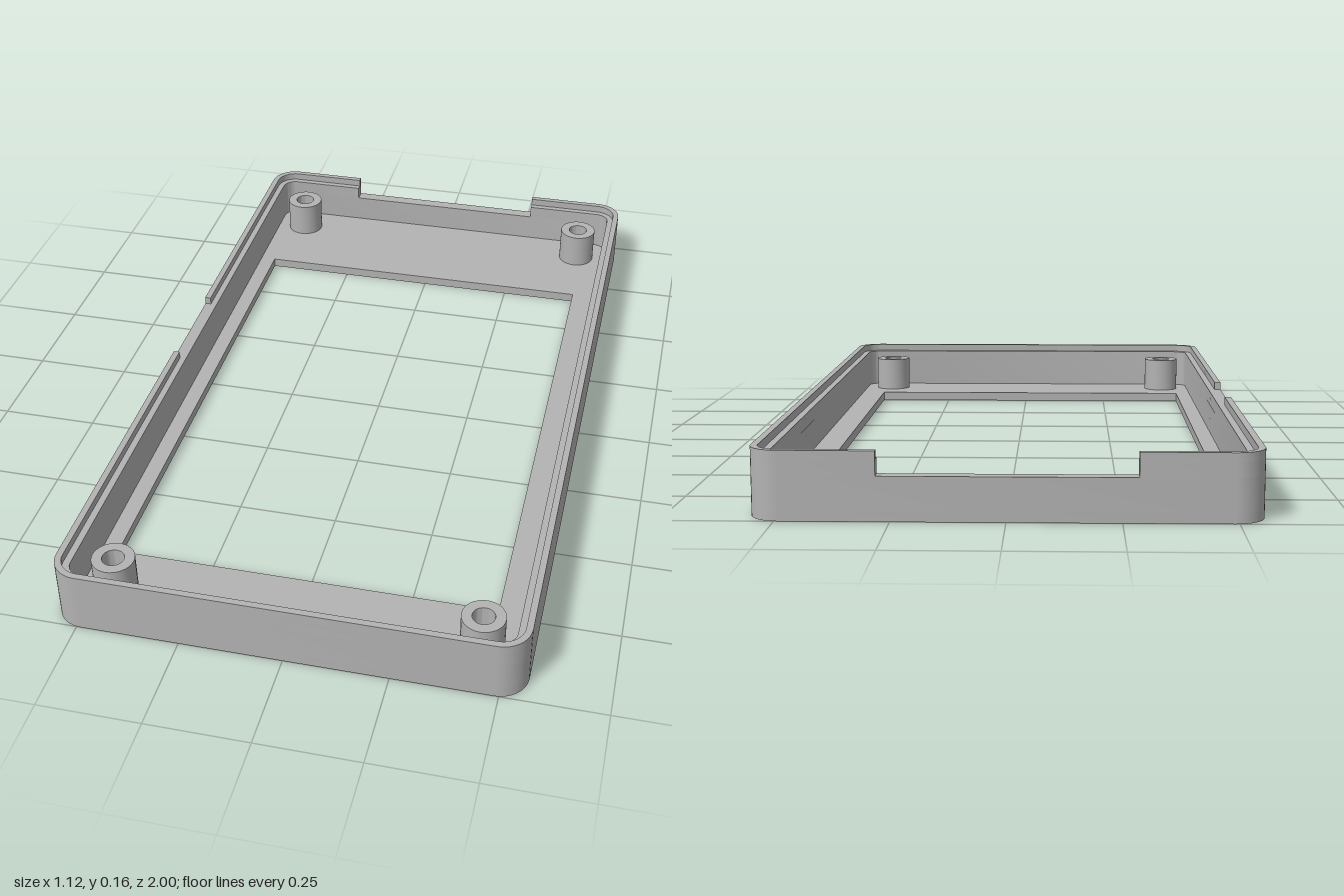
import * as THREE from 'three';
import { toCreasedNormals } from 'three/addons/utils/BufferGeometryUtils.js';

const HALF_W = 0.56, HALF_L = 1, RADIUS = 0.07;
const WALL = 0.033, LIP = 0.016;                              // wall and lip thickness
const FLOOR = 0.025, NOTCH = 0.1, LEDGE = 0.135, TOP = 0.155; // heights

// Points of one rounded corner, inset by t; corners count anticlockwise from back left
function corner(i, t) {
  const sx = i === 0 || i === 3 ? 1 : -1, sy = i < 2 ? 1 : -1;
  const points = [];
  for (let k = 0; k <= 12; k++) {
    const a = (i + k / 12) * Math.PI / 2;
    points.push(new THREE.Vector2(
      sx * (HALF_W - RADIUS) + Math.cos(a) * (RADIUS - t),
      sy * (HALF_L - RADIUS) + Math.sin(a) * (RADIUS - t)));
  }
  return points;
}

const loop = (t) => [0, 1, 2, 3].flatMap((i) => corner(i, t));

// Plan shape (y towards the back) raised between two heights
function raise(shape, y0, y1) {
  const geo = new THREE.ExtrudeGeometry(shape, { depth: y1 - y0, bevelEnabled: false });
  geo.rotateX(-Math.PI / 2).translate(0, y0, 0);
  return toCreasedNormals(geo, 0.6);
}

// Open stretch of wall from one cut end to another, passing the given corners
function strip(start, corners, end, thickness) {
  const path = (t) => [start(t), ...corners.flatMap((i) => corner(i, t)), end(t)];
  return new THREE.Shape([...path(0), ...path(thickness).reverse()]);
}

export function createModel() {
  const group = new THREE.Group();
  group.name = 'enclosureFrame';
  const grey = new THREE.MeshStandardMaterial({ color: 0xb3b3b3 });
  grey.name = 'grey plastic';
  const add = (name, geo) => {
    const mesh = new THREE.Mesh(geo, grey);
    mesh.name = name;
    group.add(mesh);
    return mesh;
  };

  // Floor with the display window
  const floor = new THREE.Shape(loop(0));
  floor.holes.push(new THREE.Path([[-0.485, -0.755], [-0.485, 0.655], [0.46, 0.655], [0.46, -0.755]]
    .map(([x, y]) => new THREE.Vector2(x, y))));
  add('floor', raise(floor, 0, FLOOR));

  // Closed lower wall
  const wall = new THREE.Shape(loop(0));
  wall.holes.push(new THREE.Path(loop(WALL)));
  add('lowerWall', raise(wall, FLOOR, NOTCH));

  // Upper wall, open at the back notch, and the thin lip, also open at the side notch
  const backRight = (t) => new THREE.Vector2(-0.285, HALF_L - t);
  const backLeft = (t) => new THREE.Vector2(0.28, HALF_L - t);
  const sideRear = (t) => new THREE.Vector2(-HALF_W + t, 0.2);
  const sideFront = (t) => new THREE.Vector2(-HALF_W + t, -0.08);
  add('upperWall', raise(strip(backRight, [1, 2, 3, 0], backLeft, WALL), NOTCH, LEDGE));
  add('rearCornerLip', raise(strip(backRight, [1], sideRear, LIP), LEDGE, TOP));
  add('mainLip', raise(strip(sideFront, [2, 3, 0], backLeft, LIP), LEDGE, TOP));

  // Screw posts with blind holes
  const profile = [[0.052, FLOOR], [0.052, 0.122], [0.027, 0.122], [0.027, FLOOR + 0.002], [0, FLOOR + 0.002]]
    .map(([x, y]) => new THREE.Vector2(x, y));
  const postGeo = toCreasedNormals(new THREE.LatheGeometry(profile, 32), 0.6);
  for (const x of [-0.442, 0.442]) {
    for (const z of [-0.88, 0.88]) add('screwPost', postGeo).position.set(x, 0, z);
  }
  return group;
}
